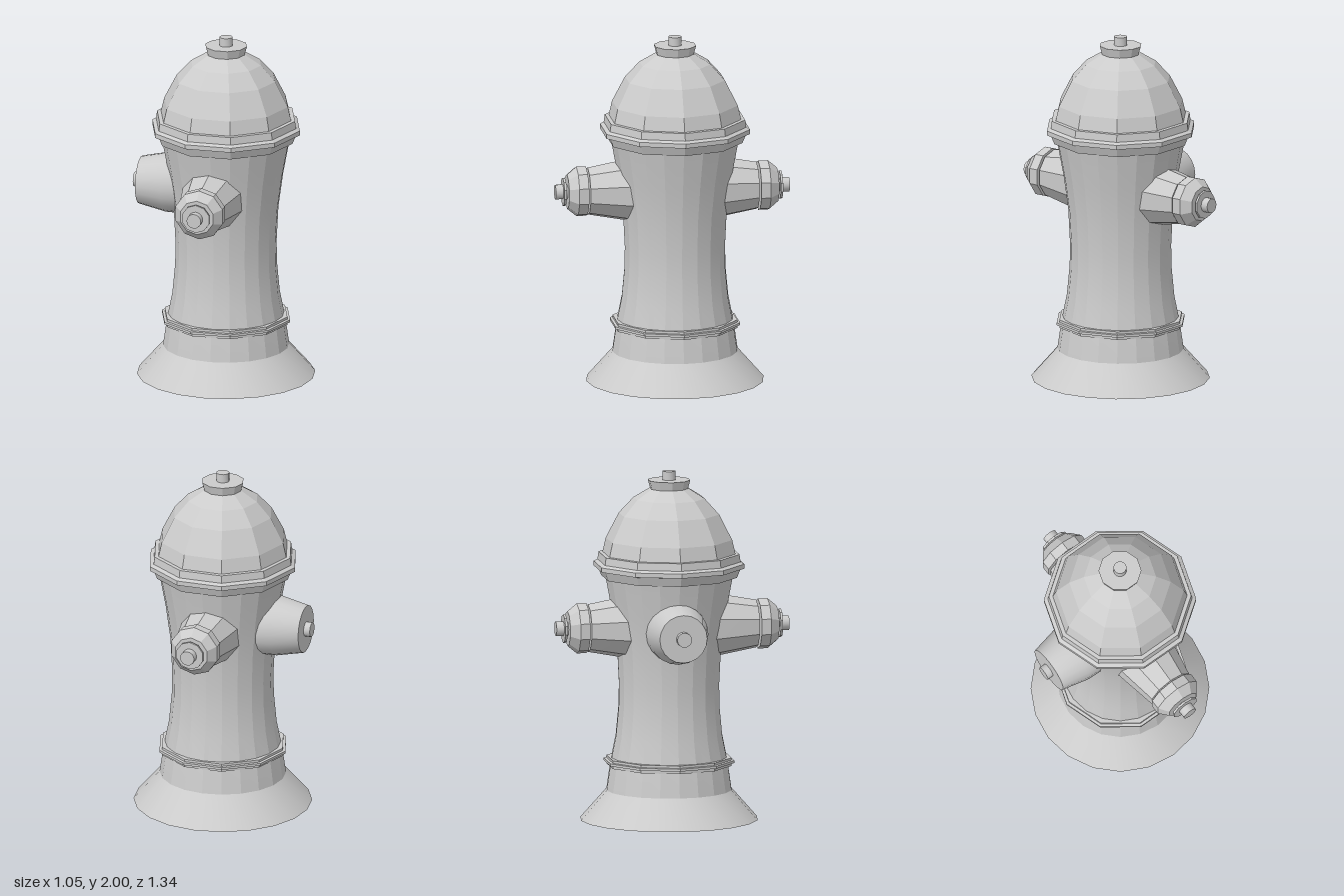
import * as THREE from 'three';
import { toCreasedNormals } from 'three/addons/utils/BufferGeometryUtils.js';

const material = new THREE.MeshStandardMaterial({ color: 0xcccccc, side: THREE.DoubleSide });

// Turned part from [radius, height] pairs; edges sharper than crease stay hard
function turned(name, profile, sides, crease = 0.05, start = 0) {
  const points = profile.map(([r, y]) => new THREE.Vector2(r, y));
  const geometry = new THREE.LatheGeometry(points, sides, start);
  const mesh = new THREE.Mesh(toCreasedNormals(geometry, crease), material);
  mesh.name = name;
  return mesh;
}

// Hose outlet, built along +y with the barrel axis at y = 0
function createOutlet(name) {
  const outlet = new THREE.Group();
  outlet.name = name;
  outlet.add(
    turned('outletNeck', [[0.186, 0.22], [0.178, 0.265], [0.137, 0.485], [0, 0.485]], 10),
    turned('outletCap', [[0, 0.495], [0.144, 0.495], [0.144, 0.55], [0.1, 0.603], [0, 0.603]], 10),
    turned('outletWasher', [[0, 0.615], [0.082, 0.615], [0.082, 0.628], [0, 0.628]], 10),
    turned('outletBolt', [[0.042, 0.47], [0.042, 0.672], [0, 0.672]], 16, 0.6)
  );
  return outlet;
}

export function createModel() {
  const hydrant = new THREE.Group();
  hydrant.name = 'hydrant';

  // Upright parts share one axis; ten-sided ones have a corner on +x
  const column = new THREE.Group();
  column.name = 'column';
  column.position.set(0.013, 0, -0.015);
  const corner = Math.PI / 2;
  column.add(
    turned('baseFlare', [[0.508, 0], [0.357, 0.172], [0.345, 0.186]], 20, 0.7),
    turned('barrel', [
      [0.36, 0.165], [0.336, 0.33], [0.306, 0.48], [0.29, 0.65],
      [0.288, 0.78], [0.298, 0.98], [0.325, 1.18], [0.366, 1.4],
    ], 20, 0.25),
    turned('lowerBand', [
      [0.33, 0.31], [0.36, 0.31], [0.36, 0.325], [0.376, 0.327],
      [0.376, 0.341], [0.36, 0.343], [0.36, 0.357], [0.33, 0.357],
    ], 10, 0.05, corner),
    turned('rim', [
      [0.34, 1.393], [0.39, 1.393], [0.41, 1.443], [0.433, 1.447], [0.433, 1.473],
      [0.411, 1.485], [0.405, 1.528], [0.37, 1.53],
    ], 10, 0.05, corner),
    turned('dome', [
      [0.383, 1.525], [0.363, 1.61], [0.288, 1.755], [0.205, 1.845], [0.115, 1.9], [0, 1.9],
    ], 10, 0.05, corner),
    turned('topCap', [[0.108, 1.897], [0.122, 1.95], [0, 1.95]], 10, 0.05, corner),
    turned('topBolt', [[0.037, 1.945], [0.037, 2], [0, 2]], 16, 0.6)
  );
  hydrant.add(column);

  // Matching outlets on front and back
  for (const side of [1, -1]) {
    const outlet = createOutlet(side > 0 ? 'frontOutlet' : 'backOutlet');
    outlet.rotation.x = side * Math.PI / 2;
    outlet.position.y = 1.11;
    hydrant.add(outlet);
  }

  // Large side outlet pointing to -x
  const sideOutlet = new THREE.Group();
  sideOutlet.name = 'sideOutlet';
  sideOutlet.add(
    turned('sideNeck', [[0.176, 0.2], [0.171, 0.33], [0.137, 0.488], [0, 0.488]], 20, 0.5),
    turned('sideBolt', [[0.042, 0.48], [0.042, 0.525], [0, 0.525]], 16, 0.6)
  );
  sideOutlet.rotation.z = Math.PI / 2;
  sideOutlet.position.set(0, 1.108, -0.018);
  hydrant.add(sideOutlet);

  return hydrant;
}
